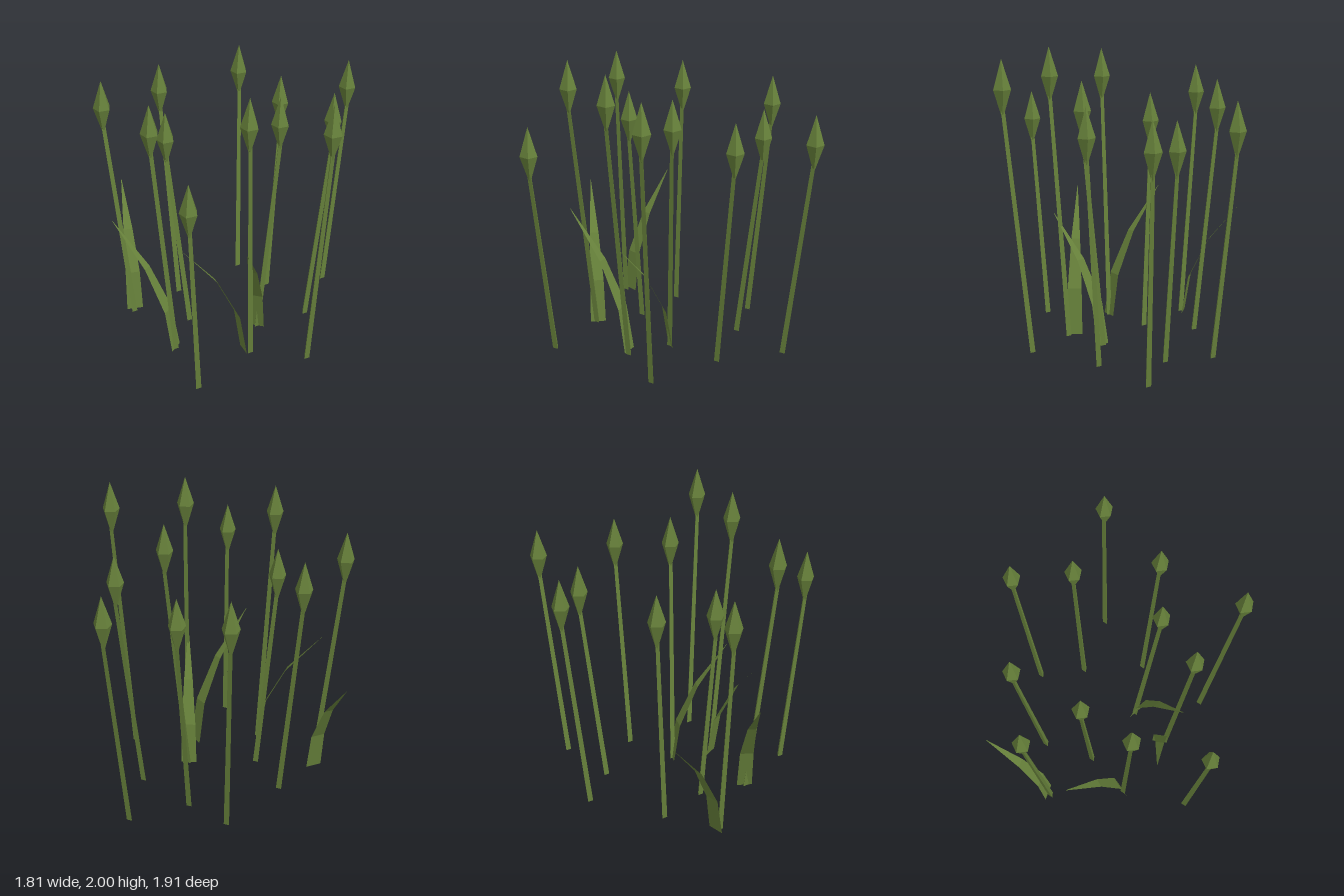
import * as THREE from 'three';

// Stalks: base x, base z, head x, head z, tip height
const STALKS = [
  [0.33, -0.76, 0.39, -0.90, 1.73],
  [-0.29, -0.57, -0.36, -0.70, 1.74],
  [0.02, -0.47, 0.03, -0.61, 1.64],
  [0.43, -0.31, 0.55, -0.39, 1.74],
  [-0.48, -0.06, -0.62, -0.10, 1.77],
  [0.22, 0.0, 0.37, -0.01, 1.83],
  [0.69, 0.13, 0.84, 0.18, 1.98],
  [-0.22, 0.19, -0.32, 0.27, 1.65],
  [-0.61, 0.31, -0.755, 0.36, 1.80],
  [0.335, 0.28, 0.39, 0.40, 2.0],
  [-0.12, 0.51, -0.16, 0.665, 1.92],
  [0.24, 0.78, 0.275, 0.90, 1.62],
];

// Blades: base x, base z, tip x, tip z, tip height, half-width vector x, z
const BLADES = [
  [-0.62, 0.285, -0.905, 0.0, 0.84, 0.04, -0.04],
  [-0.12, 0.505, -0.57, 0.555, 0.90, 0.005, 0.053],
  [0.285, 0.28, 0.04, 0.665, 0.95, 0.045, 0.03],
  [0.22, 0.0, 0.375, 0.39, 0.86, 0.052, -0.015],
];

const HEAD_LENGTH = 0.39;

// Three-sided tapering stem, sheared so its ends stay level
function stemGeometry(dx, dz, height) {
  const geo = new THREE.CylinderGeometry(0.016, 0.022, height, 3);
  geo.translate(0, height / 2, 0);
  const p = geo.attributes.position;
  for (let i = 0; i < p.count; i++) {
    const t = p.getY(i) / height;
    p.setX(i, p.getX(i) + dx * t);
    p.setZ(i, p.getZ(i) + dz * t);
  }
  geo.computeVertexNormals();
  return geo;
}

// Flat blade that arches outward and narrows to a point
function bladeGeometry([bx, bz, tx, tz, height, wx, wz]) {
  const positions = [], index = [], rows = 3;
  for (let i = 0; i <= rows; i++) {
    const t = i / rows, lean = t * t, w = 1 - lean * 0.97;
    const x = bx + (tx - bx) * lean, z = bz + (tz - bz) * lean;
    positions.push(x - wx * w, height * t, z - wz * w);
    positions.push(x + wx * w, height * t, z + wz * w);
    if (i < rows) {
      const a = i * 2;
      index.push(a, a + 1, a + 3, a, a + 3, a + 2);
    }
  }
  const geo = new THREE.BufferGeometry();
  geo.setAttribute('position', new THREE.Float32BufferAttribute(positions, 3));
  geo.setIndex(index);
  geo.computeVertexNormals();
  return geo;
}

export function createModel() {
  const model = new THREE.Group();
  model.name = 'buddingReeds';

  const green = new THREE.MeshStandardMaterial({ color: 0x66803a, flatShading: true });
  green.name = 'leafGreen';
  const bladeGreen = green.clone();
  bladeGreen.side = THREE.DoubleSide;

  const add = (parent, name, geo, mat) => {
    const mesh = new THREE.Mesh(geo, mat);
    mesh.name = name;
    parent.add(mesh);
    return mesh;
  };

  // Five-sided spindle bud, with its tip at the origin
  const budGeo = new THREE.LatheGeometry([
    new THREE.Vector2(0, -HEAD_LENGTH),
    new THREE.Vector2(0.06, -HEAD_LENGTH / 2),
    new THREE.Vector2(0, 0),
  ], 5, Math.PI / 2);

  // Stems with buds
  for (const [bx, bz, hx, hz, tip] of STALKS) {
    const stalk = new THREE.Group();
    stalk.name = 'stalk';
    stalk.position.set(bx, 0, bz);
    add(stalk, 'stem', stemGeometry(hx - bx, hz - bz, tip - HEAD_LENGTH + 0.06), green);
    add(stalk, 'bud', budGeo, green).position.set(hx - bx, tip, hz - bz);
    model.add(stalk);
  }

  // Arching leaves
  for (const blade of BLADES) add(model, 'leafBlade', bladeGeometry(blade), bladeGreen);

  return model;
}
